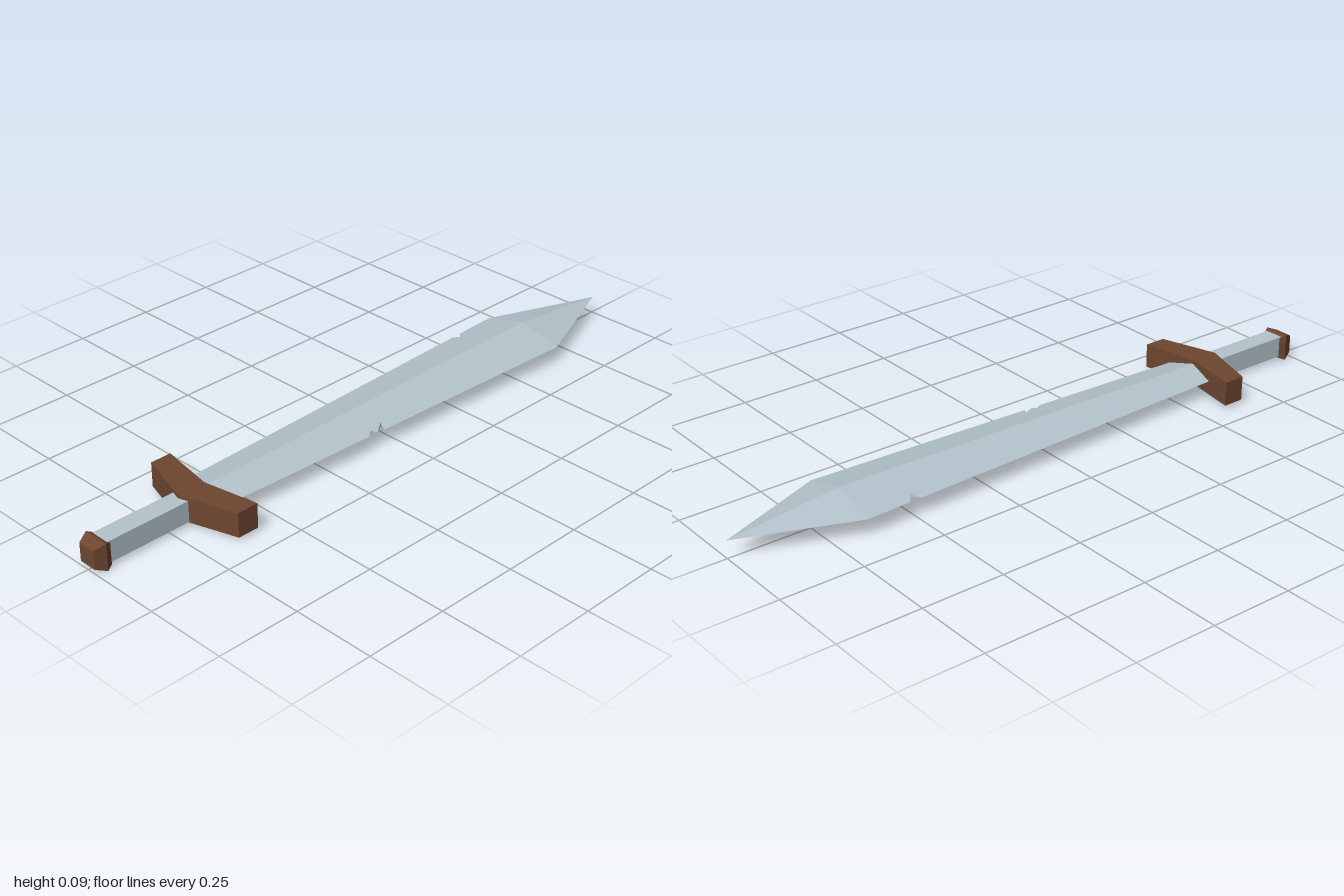
import * as THREE from 'three';

const steel = new THREE.MeshStandardMaterial({ color: 0xb4c4cc, flatShading: true });
const wood = new THREE.MeshStandardMaterial({ color: 0x6d4630, flatShading: true });

const TIP = -1, SHOULDER = -0.66, BASE = 0.63, EDGE_Y = 0.054;
const { lerp, inverseLerp } = THREE.MathUtils;

// Value along the blade: base to shoulder, then shoulder to tip
function along(z, base, shoulder, tip) {
  return z < SHOULDER
    ? lerp(shoulder, tip, inverseLerp(SHOULDER, TIP, z))
    : lerp(base, shoulder, inverseLerp(BASE, SHOULDER, z));
}
const halfWidth = (z) => along(z, 0.085, 0.135, 0);

// Extrude an outline of [x, z] points upwards
function slab(points, height) {
  const shape = new THREE.Shape(points.map(([x, z]) => new THREE.Vector2(x, -z)));
  return new THREE.ExtrudeGeometry(shape, { depth: height, bevelEnabled: false }).rotateX(-Math.PI / 2);
}

// One facet pair of the blade: thick at the ridge, sharp at the edge
function bladePiece(points) {
  const geo = slab(points, 1);
  const pos = geo.attributes.position;
  for (let i = 0; i < pos.count; i++) {
    const z = pos.getZ(i), w = halfWidth(z);
    const t = w > 1e-5 ? Math.min(1, Math.abs(pos.getX(i)) / w) : 1;
    const ridge = pos.getY(i) > 0.5 ? along(z, 0.076, 0.09, EDGE_Y) : along(z, 0.028, 0.034, EDGE_Y);
    pos.setY(i, lerp(ridge, EDGE_Y, t));
  }
  geo.computeVertexNormals();
  return new THREE.Mesh(geo, steel);
}

export function createModel() {
  const sword = new THREE.Group();
  sword.name = 'sword';
  const add = (name, geo, material) => {
    const mesh = new THREE.Mesh(geo, material);
    mesh.name = name;
    sword.add(mesh);
    return mesh;
  };

  // Blade with a nick in each edge
  const blade = new THREE.Group();
  blade.name = 'blade';
  const onEdge = (side, z) => [side * halfWidth(z), z];
  const nicks = {
    '1': [onEdge(1, 0.05), [0.08, 0.035], [0.105, 0.072], [0.09, 0.082], onEdge(1, 0.105)],
    '-1': [onEdge(-1, -0.52), [-0.103, -0.502], onEdge(-1, -0.485)],
  };
  for (const side of [1, -1]) {
    const body = bladePiece([[0, SHOULDER], onEdge(side, SHOULDER), ...nicks[side], onEdge(side, BASE), [0, BASE]]);
    body.name = side > 0 ? 'bladeLeft' : 'bladeRight';
    const tip = bladePiece([[0, TIP], onEdge(side, SHOULDER), [0, SHOULDER]]);
    tip.name = side > 0 ? 'tipLeft' : 'tipRight';
    blade.add(body, tip);
  }
  sword.add(blade);

  // Swept crossguard
  const guard = slab([
    [0, 0.612], [0.174, 0.582], [0.174, 0.648], [0, 0.702], [-0.174, 0.648], [-0.174, 0.582],
  ], 0.075);
  add('crossguard', guard, wood).position.y = 0.012;

  // Square grip
  add('grip', new THREE.BoxGeometry(0.06, 0.064, 0.32), steel).position.set(0, 0.046, 0.81);

  // Four-sided pommel
  const profile = [[0, 0.95], [0.033, 0.95], [0.041, 0.968], [0.028, 1], [0, 1]];
  const pommel = new THREE.LatheGeometry(
    profile.map(([r, y]) => new THREE.Vector2(r * Math.SQRT2, y)), 4, Math.PI / 4,
  ).rotateX(Math.PI / 2);
  add('pommel', pommel, wood).position.y = 0.042;

  return sword;
}
